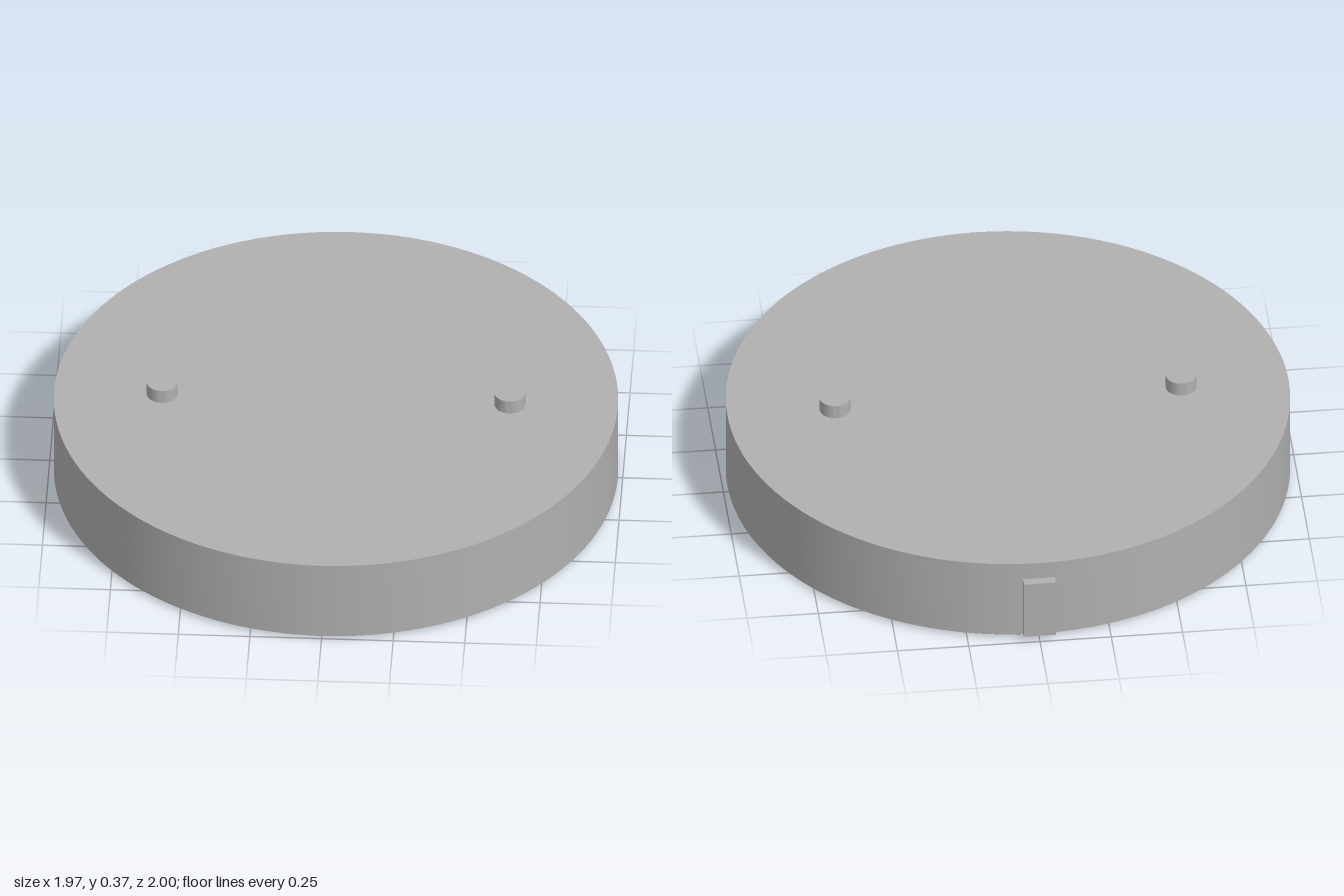
import * as THREE from 'three';
import { toCreasedNormals } from 'three/addons/utils/BufferGeometryUtils.js';

const RADIUS = 0.984, INNER = 0.897, TOP = 0.315, FLOOR = 0.245;

export function createModel() {
  const model = new THREE.Group();
  model.name = 'roundCover';
  const grey = new THREE.MeshStandardMaterial({ color: 0xb0b0b0 });
  grey.name = 'plain grey';

  // the disc centre sits slightly forward, balancing the tab at the back
  const disc = new THREE.Group();
  disc.name = 'disc';
  disc.position.z = 0.016;
  model.add(disc);

  const add = (name, geometry, parent = disc) => {
    const mesh = new THREE.Mesh(toCreasedNormals(geometry, 0.4), grey);
    mesh.name = name;
    parent.add(mesh);
    return mesh;
  };
  const lathe = (points, segments) =>
    new THREE.LatheGeometry(points.map(([r, y]) => new THREE.Vector2(r, y)), segments);

  // hollow shell: recessed underside, rim with a small chamfer, flat top
  add('shell', lathe([
    [0, FLOOR], [INNER, FLOOR], [INNER, 0], [0.968, 0],
    [RADIUS, 0.012], [RADIUS, TOP], [0, TOP],
  ], 128));

  // two pins on top
  for (const side of [-1, 1]) {
    const pin = add(side > 0 ? 'leftPin' : 'rightPin', new THREE.CylinderGeometry(0.054, 0.054, 0.06, 40));
    pin.position.set(side * 0.607, 0.336, 0);
  }

  // locating tab at the back, with a sloped lower end
  const tabShape = new THREE.Shape([
    [0.95, 0.008], [1.016, 0.025], [1.016, 0.25], [0.95, 0.25],
  ].map(([r, y]) => new THREE.Vector2(r, y)));
  const tab = new THREE.ExtrudeGeometry(tabShape, { depth: 0.112, bevelEnabled: false });
  tab.translate(0, 0, -0.056).rotateY(Math.PI / 2);
  add('backTab', tab);

  // eight radial ribs under the plate
  const ribs = new THREE.Group();
  ribs.name = 'ribs';
  disc.add(ribs);
  for (let i = 0; i < 8; i++) {
    const rib = new THREE.BoxGeometry(0.27, FLOOR, 0.054);
    rib.translate(0.785, FLOOR / 2 + 0.01, 0).rotateY((i + 0.5) * Math.PI / 4);
    add('rib', rib, ribs);
  }

  // central hub with a cross-shaped socket
  const hubShape = new THREE.Shape().absarc(0, 0, 0.147, 0, Math.PI * 2, false);
  const long = 0.1, half = 0.037;
  const cross = [];
  for (let i = 0; i < 4; i++) {
    for (const [x, y] of [[long, -half], [long, half], [half, half]]) {
      cross.push(new THREE.Vector2(x, y).rotateAround(new THREE.Vector2(), i * Math.PI / 2));
    }
  }
  hubShape.holes.push(new THREE.Path(cross));
  const hub = new THREE.ExtrudeGeometry(hubShape, { depth: FLOOR, bevelEnabled: false, curveSegments: 48 });
  add('hub', hub.rotateX(-Math.PI / 2));

  // flared foot where the hub meets the plate
  add('hubFlare', lathe([[0.146, 0.166], [0.215, FLOOR]], 48));

  return model;
}
